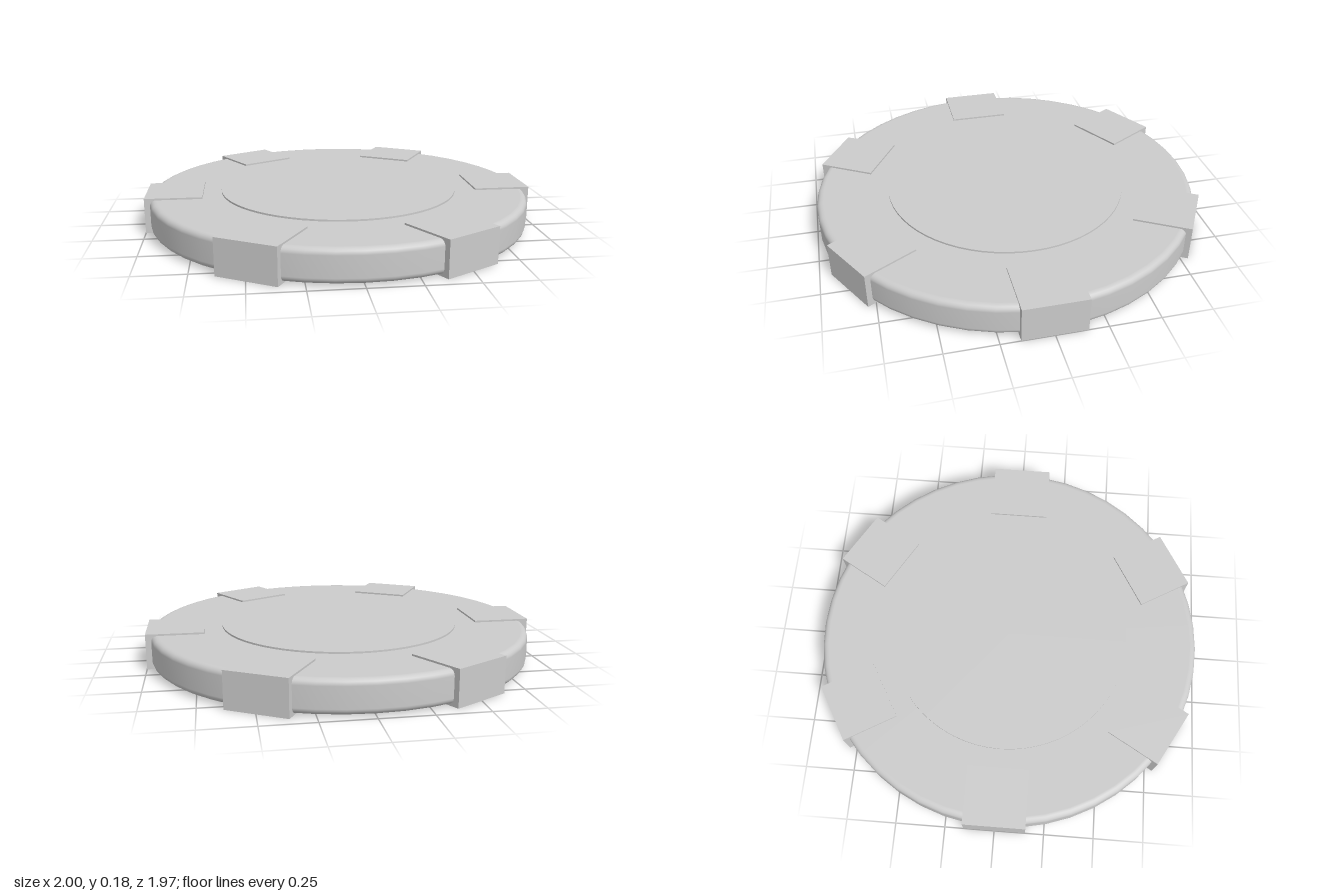
import * as THREE from 'three';

const HEIGHT = 0.18;
const material = new THREE.MeshStandardMaterial({ color: 0xcccccc });

function addMesh(parent, name, geometry) {
  const mesh = new THREE.Mesh(geometry, material);
  mesh.name = name;
  parent.add(mesh);
  return mesh;
}

// Closed disc profile with rounded rims, from bottom centre to top centre
function discProfile(radius, bottom, top, fillet) {
  const inner = radius - fillet;
  const points = [new THREE.Vector2(0, bottom), new THREE.Vector2(inner - 0.004, bottom)];
  const corner = (y, start) => {
    for (let i = 0; i <= 5; i++) {
      const a = start + (i / 5) * (Math.PI / 2);
      points.push(new THREE.Vector2(inner + fillet * Math.cos(a), y + fillet * Math.sin(a)));
    }
  };
  corner(bottom + fillet, -Math.PI / 2);
  corner(top - fillet, 0);
  points.push(new THREE.Vector2(inner - 0.004, top), new THREE.Vector2(0, top));
  return points;
}

export function createModel() {
  const chip = new THREE.Group();
  chip.name = 'chip';

  // Main body with softened rim
  addMesh(chip, 'body', new THREE.LatheGeometry(discProfile(0.985, 0.009, 0.171, 0.03), 48));

  // Centre plate standing slightly proud of both faces
  const plate = addMesh(chip, 'centrePlate', new THREE.CylinderGeometry(0.617, 0.617, HEIGHT, 64));
  plate.position.y = HEIGHT / 2;

  // Six edge blocks wrapping the rim
  const innerEdge = 0.71;
  const blockGeometry = new THREE.BoxGeometry(1 - innerEdge, HEIGHT, 0.31);
  blockGeometry.translate((1 + innerEdge) / 2, HEIGHT / 2, 0);
  for (let i = 0; i < 6; i++) {
    addMesh(chip, `edgeBlock${i + 1}`, blockGeometry).rotation.y = (i * Math.PI) / 3;
  }

  return chip;
}
